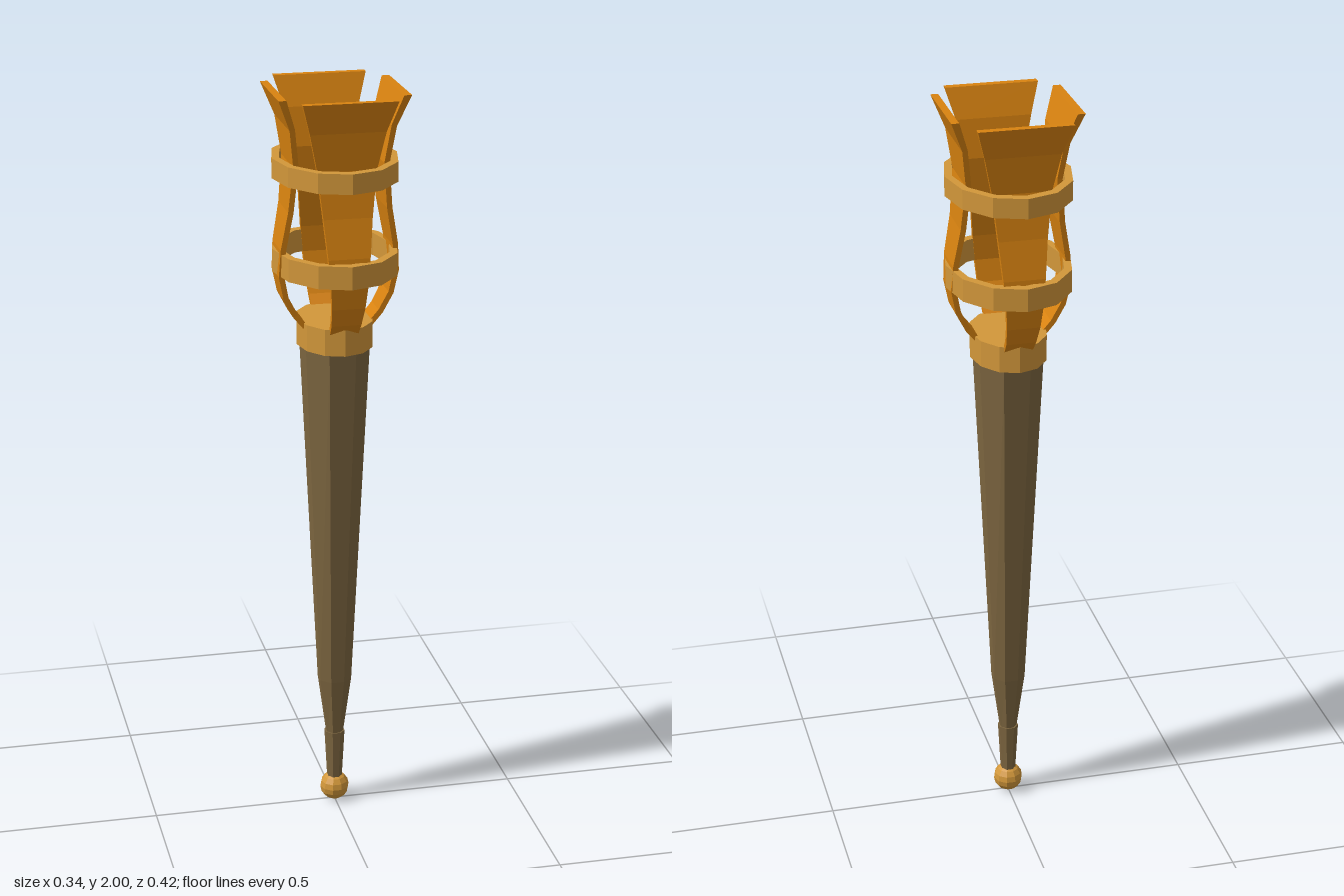
import * as THREE from 'three';

const mat = (color) => new THREE.MeshStandardMaterial({ color, flatShading: true });

// Petal rows from the foot to the rim: [height, distance from axis, half width]
const ROWS = [
  [1.385, 0.083, 0.037], [1.42, 0.112, 0.039], [1.47, 0.138, 0.043], [1.53, 0.15, 0.048],
  [1.6, 0.146, 0.054], [1.7, 0.128, 0.063], [1.82, 0.117, 0.076], [1.92, 0.13, 0.097],
  [2.0, 0.159, 0.121],
];

// A box with one segment per row, bent along the profile
function petalGeometry(shift) {
  const n = ROWS.length - 1, half = 0.007;
  const geo = new THREE.BoxGeometry(1, 1, 1, 1, n, 1);
  const p = geo.attributes.position;
  for (let i = 0; i < p.count; i++) {
    const k = Math.round((p.getY(i) + 0.5) * n);
    const [y, r, w] = ROWS[k];
    const a = ROWS[Math.max(k - 1, 0)], b = ROWS[Math.min(k + 1, n)];
    const dy = b[0] - a[0], dr = b[1] - a[1], len = Math.hypot(dy, dr);
    const side = Math.sign(p.getZ(i));
    const x = Math.sign(p.getX(i)) * w;
    if (k === n) p.setXYZ(i, x, y, r + shift + side * 0.01);
    else p.setXYZ(i, x, y - side * half * dr / len, r + shift + side * half * dy / len);
  }
  geo.computeVertexNormals();
  return geo;
}

// Oval band with a rectangular section
function bandGeometry(y0, y1, outer, inner) {
  const pts = [[outer, y0], [outer, y1], [inner, y1], [inner, y0], [outer, y0]];
  return new THREE.LatheGeometry(pts.map(([x, y]) => new THREE.Vector2(x, y)), 12);
}

export function createModel() {
  const torch = new THREE.Group();
  torch.name = 'torch';
  const wood = mat(0x7d6640), gold = mat(0xd2973a), amber = mat(0xd98310);

  const add = (name, geo, material, parent = torch) => {
    const mesh = new THREE.Mesh(geo, material);
    mesh.name = name;
    parent.add(mesh);
    return mesh;
  };

  // Eight-sided section between two heights with separate x and z half widths
  const taper = (name, y0, x0, z0, y1, x1, z1) => {
    const geo = new THREE.CylinderGeometry(1, 1, 1, 8, 1);
    geo.rotateY(Math.PI / 8);
    const p = geo.attributes.position, s = 1 / Math.cos(Math.PI / 8);
    for (let i = 0; i < p.count; i++) {
      const top = p.getY(i) > 0;
      p.setXYZ(i, p.getX(i) * s * (top ? x1 : x0), top ? y1 : y0, p.getZ(i) * s * (top ? z1 : z0));
    }
    geo.computeVertexNormals();
    add(name, geo, wood);
  };

  // Handle
  taper('handleShaft', 0.37, 0.043, 0.041, 1.335, 0.085, 0.103);
  taper('handleNeck', 0.2, 0.021, 0.023, 0.37, 0.043, 0.041);
  taper('handleFerrule', 0.07, 0.019, 0.021, 0.21, 0.026, 0.027);
  add('pommel', new THREE.SphereGeometry(0.04, 10, 8), gold).position.y = 0.04;

  // Collar closing the top of the handle
  const collar = add('collar', new THREE.CylinderGeometry(0.13, 0.13, 0.07, 12), gold);
  collar.position.y = 1.365;
  collar.scale.x = 0.77;

  // Bands around the cup
  for (const [name, y0, y1] of [['lowerBand', 1.53, 1.59], ['upperBand', 1.775, 1.827]]) {
    add(name, bandGeometry(y0, y1, 0.21, 0.184), gold).scale.x = 0.777;
  }

  // Four flared petals; the front and back ones stand further out
  ['front', 'left', 'back', 'right'].forEach((dir, i) => {
    const sideways = i % 2 === 1;
    const petal = add(dir + 'Petal', petalGeometry(sideways ? 0 : 0.024), amber);
    petal.rotation.y = i * Math.PI / 2;
    if (sideways) petal.position.z = 0.008;
  });

  return torch;
}
